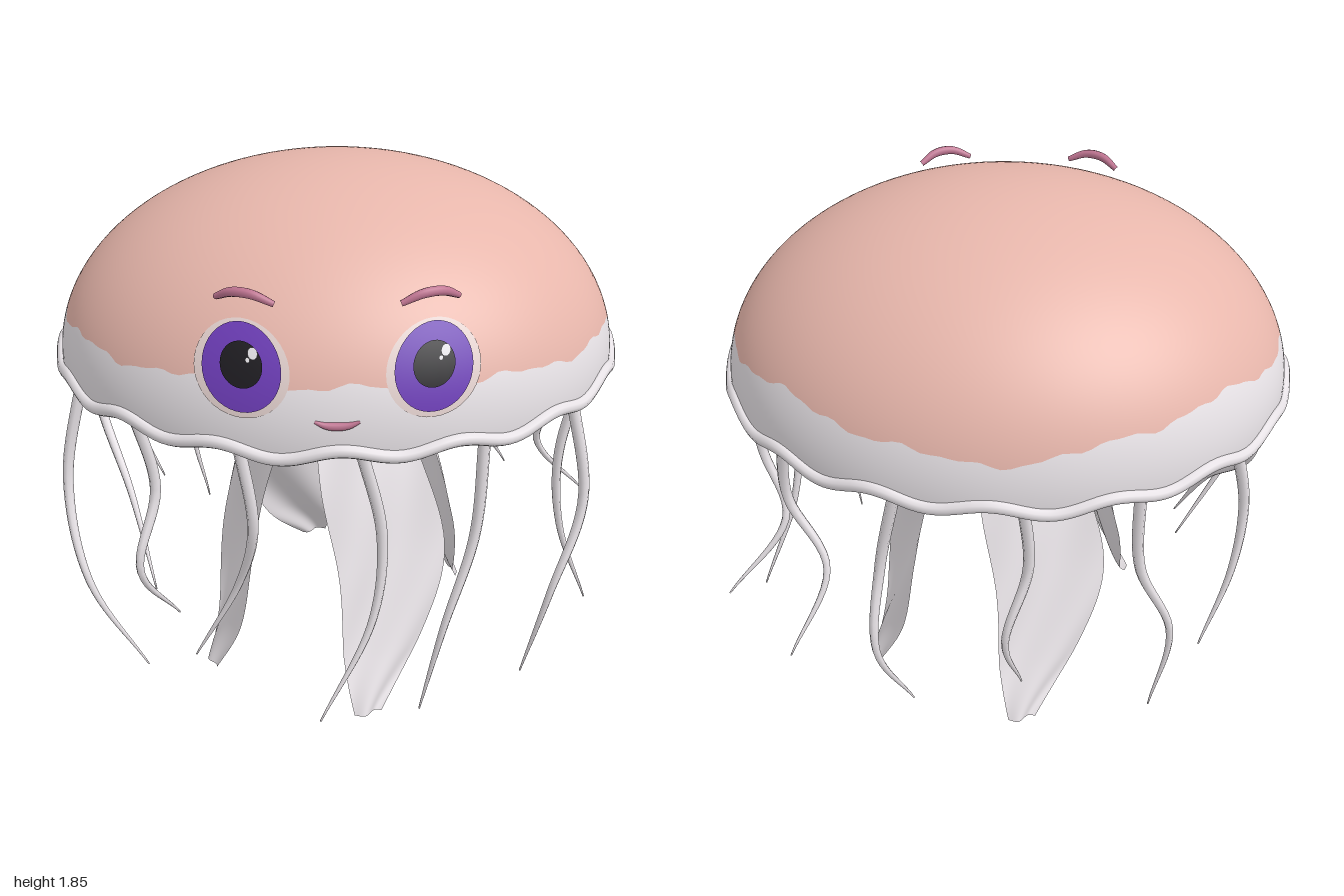
import * as THREE from 'three';

const mat = (name, color, side = THREE.FrontSide) => {
  const m = new THREE.MeshStandardMaterial({ color, side });
  m.name = name;
  return m;
};

// Bell: an ellipsoid with radii A, B, C around the centre (CX, CY, CZ)
const A = 0.957, B = 0.65, C = 0.815, CX = -0.006, CY = 1.2, CZ = -0.015;
const TAU = Math.PI * 2;
const rimY = t => 1.2 + 0.016 * Math.cos(16 * t) + 0.004 * Math.sin(7 * t);
const edgeY = t => 1.352 - 0.012 * Math.sin(t) + 0.045 * Math.max(0, Math.cos(t)) ** 2
  + (Math.cos(t) < 0 ? 0.06 * Math.sin(2 * t) ** 2 : 0)
  + 0.01 * Math.sin(11 * t + 1) + 0.006 * Math.sin(25 * t) + 0.004 * Math.sin(47 * t);

// Grid surface from f(u, v), u and v in 0..1; closed joins the u ends
function surface(f, nu, nv, closed) {
  const pos = [], idx = [], cols = closed ? nu : nu + 1;
  for (let i = 0; i < cols; i++)
    for (let j = 0; j <= nv; j++) pos.push(...f(i / nu, j / nv));
  for (let i = 0; i < nu; i++) {
    const k = (i + 1) % cols;
    for (let j = 0; j < nv; j++) {
      const a = i * (nv + 1) + j, c = k * (nv + 1) + j;
      idx.push(a, a + 1, c, a + 1, c + 1, c);
    }
  }
  const g = new THREE.BufferGeometry();
  g.setAttribute('position', new THREE.Float32BufferAttribute(pos, 3));
  g.setIndex(idx);
  g.computeVertexNormals();
  return g;
}

// True ellipsoid normals, so bell pieces shade as one surface
function bellNormals(g) {
  const p = g.attributes.position, n = g.attributes.normal, v = new THREE.Vector3();
  for (let i = 0; i < p.count; i++) {
    v.set((p.getX(i) - CX) / A ** 2, (p.getY(i) - CY) / B ** 2, (p.getZ(i) - CZ) / C ** 2).normalize();
    n.setXYZ(i, v.x, v.y, v.z);
  }
  return g;
}

const bellAngle = y => Math.acos((y - CY) / B);
function bellPoint(t, phi) {
  return [CX + A * Math.sin(phi) * Math.sin(t), CY + B * Math.cos(phi), CZ + C * Math.sin(phi) * Math.cos(t)];
}

// Elliptical plate laid on the front of the bell, raised a little
function facePlate(cx, cy, rx, ry, lift) {
  const g = new THREE.RingGeometry(0.0001, 1, 40, 5), p = g.attributes.position, s = 1 + lift;
  for (let i = 0; i < p.count; i++) {
    const x = cx + p.getX(i) * rx, y = cy + p.getY(i) * ry;
    const k = s * s - ((x - CX) / A) ** 2 - ((y - CY) / B) ** 2;
    p.setXYZ(i, x, y, CZ + C * Math.sqrt(Math.max(k, 0)));
  }
  return bellNormals(g);
}

// Tube whose radius follows profile(v) along the curve
function taperedTube(points, radius, profile, steps = 28, sides = 8) {
  const curve = new THREE.CatmullRomCurve3(points.map(q => new THREE.Vector3(...q)));
  const g = new THREE.TubeGeometry(curve, steps, radius, sides), p = g.attributes.position;
  const v = new THREE.Vector3();
  for (let i = 0; i <= steps; i++) {
    const c = curve.getPointAt(i / steps), k = profile(i / steps);
    for (let j = 0; j <= sides; j++) {
      const n = i * (sides + 1) + j;
      v.fromBufferAttribute(p, n).sub(c).multiplyScalar(k).add(c);
      p.setXYZ(n, v.x, v.y, v.z);
    }
  }
  return g;
}

// Frilled ribbon: centre path, widened along a horizontal direction
function ribbon(path, angle) {
  const curve = new THREE.CatmullRomCurve3(path.map(q => new THREE.Vector3(...q)));
  const wx = Math.cos(angle), wz = Math.sin(angle);
  return surface((u, v) => {
    const c = curve.getPoint(v), s = u * 2 - 1;
    const half = (0.1 + 0.13 * (1 - v) + 0.24 * Math.sin(Math.PI * v ** 0.9)) / 2;
    const fold = (0.008 + 0.06 * half) * Math.sin(3.5 * s + 9 * v);
    return [c.x + wx * half * s - wz * fold, Math.max(c.y, 0), c.z + wz * half * s + wx * fold];
  }, 24, 32, false);
}

// Tentacles: rim angle in degrees, tip height, then x and z at three lower points
const TENTACLES = [
  [4, 0.2, 0.13, 0.1, -0.07, 0.73, 0.77, 0.85],
  [30, 0.12, 0.43, 0.34, 0.27, 0.68, 0.73, 0.7],
  [57, 0.1, 0.82, 0.72, 0.65, 0.46, 0.54, 0.48],
  [83, 0.07, 0.8, 0.83, 0.97, 0.1, 0.07, 0],
  [107, 0.35, 0.85, 0.78, 1.0, -0.2, -0.26, -0.36],
  [130, 0.32, 0.71, 0.59, 0.72, -0.45, -0.5, -0.63],
  [161, 0.2, 0.36, 0.38, 0.28, -0.73, -0.8, -0.69],
  [186, 0.3, -0.12, -0.05, -0.1, -0.75, -0.8, -0.68],
  [210, 0.16, -0.48, -0.6, -0.55, -0.66, -0.63, -0.63],
  [237, 0.34, -0.83, -0.81, -0.72, -0.4, -0.44, -0.5],
  [262, 0.32, -0.88, -0.76, -0.67, -0.1, 0.1, 0.27],
  [290, 0.08, -0.94, -0.88, -0.7, 0.3, 0.42, 0.4],
  [314, 0.33, -0.61, -0.67, -0.57, 0.5, 0.58, 0.42],
  [340, 0.27, -0.28, -0.34, -0.5, 0.7, 0.62, 0.58],
];

export function createModel() {
  const root = new THREE.Group();
  root.name = 'jellyfish';
  const pink = mat('bellPink', 0xe8b7ac);
  const pale = mat('paleGrey', 0xe8e3e7, THREE.DoubleSide);
  const halo = mat('eyeHalo', 0xe2d0cd);
  const purple = mat('irisPurple', 0x6c3cb6);
  const black = mat('pupilBlack', 0x1d1b20);
  const white = mat('glintWhite', 0xf8f6fa);
  const rose = mat('browRose', 0xc07592);
  const add = (name, geometry, material, parent = root) => {
    const m = new THREE.Mesh(geometry, material);
    m.name = name;
    parent.add(m);
    return m;
  };

  // Bell: pink cap and pale skirt meeting on a ragged edge
  add('bellCap', bellNormals(surface((u, v) =>
    bellPoint(u * TAU, v * bellAngle(edgeY(u * TAU))), 192, 32, true)), pink);
  add('bellSkirt', bellNormals(surface((u, v) => {
    const t = u * TAU, top = bellAngle(edgeY(t));
    return bellPoint(t, top + v * (bellAngle(rimY(t)) - top));
  }, 192, 8, true)), pale);

  // Wavy rim
  const rim = [];
  for (let i = 0; i < 128; i++) {
    const t = i / 128 * TAU;
    rim.push(new THREE.Vector3(CX + 0.957 * Math.sin(t), rimY(t) - 0.005, CZ + C * Math.cos(t)));
  }
  add('bellRim', new THREE.TubeGeometry(new THREE.CatmullRomCurve3(rim, true), 256, 0.022, 10, true), pale);

  // Pleated underside
  add('bellUnderside', surface((u, v) => {
    const t = u * TAU, r = 1 - v;
    const sag = 0.075 * Math.sin(Math.PI / 2 * Math.min(1, v / 0.7));
    const lift = 0.05 * Math.max(0, (v - 0.75) / 0.25) ** 2;
    const pleat = 0.016 * Math.cos(16 * t) * r + 0.04 * Math.sin(8 * t) * v * r;
    return [CX + 0.95 * r * Math.sin(t), 1.19 - sag + lift + pleat, CZ + 0.805 * r * Math.cos(t)];
  }, 160, 20, true), pale);

  // Frilled arms: two shapes, each repeated half a turn round
  const frontArm = ribbon([[0.03, 1.16, 0.13], [0.12, 0.8, 0.27], [0.18, 0.5, 0.36],
    [0.15, 0.2, 0.48], [0.1, 0, 0.59]], -0.33);
  const sideArm = ribbon([[0.17, 1.16, -0.1], [0.31, 0.8, -0.08], [0.35, 0.5, -0.13],
    [0.415, 0.2, -0.2], [0.48, 0, -0.29]], -Math.PI / 2 - 0.3);
  for (const turn of [0, Math.PI]) {
    add('frilledArm', frontArm, pale).rotation.y = turn;
    add('frilledArm', sideArm, pale).rotation.y = turn;
  }

  // Trailing tentacles
  for (const [deg, tip, x1, x2, x3, z1, z2, z3] of TENTACLES) {
    const t = deg * Math.PI / 180, y = k => 1.2 + (tip - 1.2) * k;
    const pts = [[CX + 0.91 * Math.sin(t), 1.2, CZ + 0.77 * Math.cos(t)],
      [x1, y(0.35), z1], [x2, y(0.65), z2], [x3, tip, z3]];
    add('tentacle', taperedTube(pts, 0.02, v => 1 - 0.85 * v ** 2), pale);
  }

  // Eyes and brows
  for (const side of [-1, 1]) {
    const eye = new THREE.Group();
    eye.name = side < 0 ? 'rightEye' : 'leftEye';
    root.add(eye);
    const x = -0.01 + side * 0.287;
    add('eyeHalo', facePlate(x, 1.434, 0.145, 0.132, 0.004), halo, eye);
    add('iris', facePlate(x, 1.44, 0.12, 0.12, 0.009), purple, eye);
    add('pupil', facePlate(x, 1.453, 0.064, 0.062, 0.014), black, eye);
    add('glint', facePlate(x + 0.035, 1.488, 0.015, 0.016, 0.019), white, eye);
    add('smallGlint', facePlate(x + 0.02, 1.47, 0.007, 0.007, 0.019), white, eye);
    add('eyebrow', taperedTube([[-0.01 + side * 0.36, 1.638, 0.62], [-0.01 + side * 0.31, 1.667, 0.655],
      [-0.01 + side * 0.25, 1.669, 0.68], [-0.01 + side * 0.185, 1.642, 0.69]],
    0.016, v => 0.6 + 0.4 * Math.sin(Math.PI * v), 16), rose);
  }

  // Mouth
  add('mouth', taperedTube([[-0.08, 1.303, 0.786], [-0.045, 1.292, 0.79], [0.02, 1.292, 0.79],
    [0.055, 1.303, 0.786]], 0.014, v => 0.35 + 0.65 * Math.sin(Math.PI * v), 16), rose);

  return root;
}
